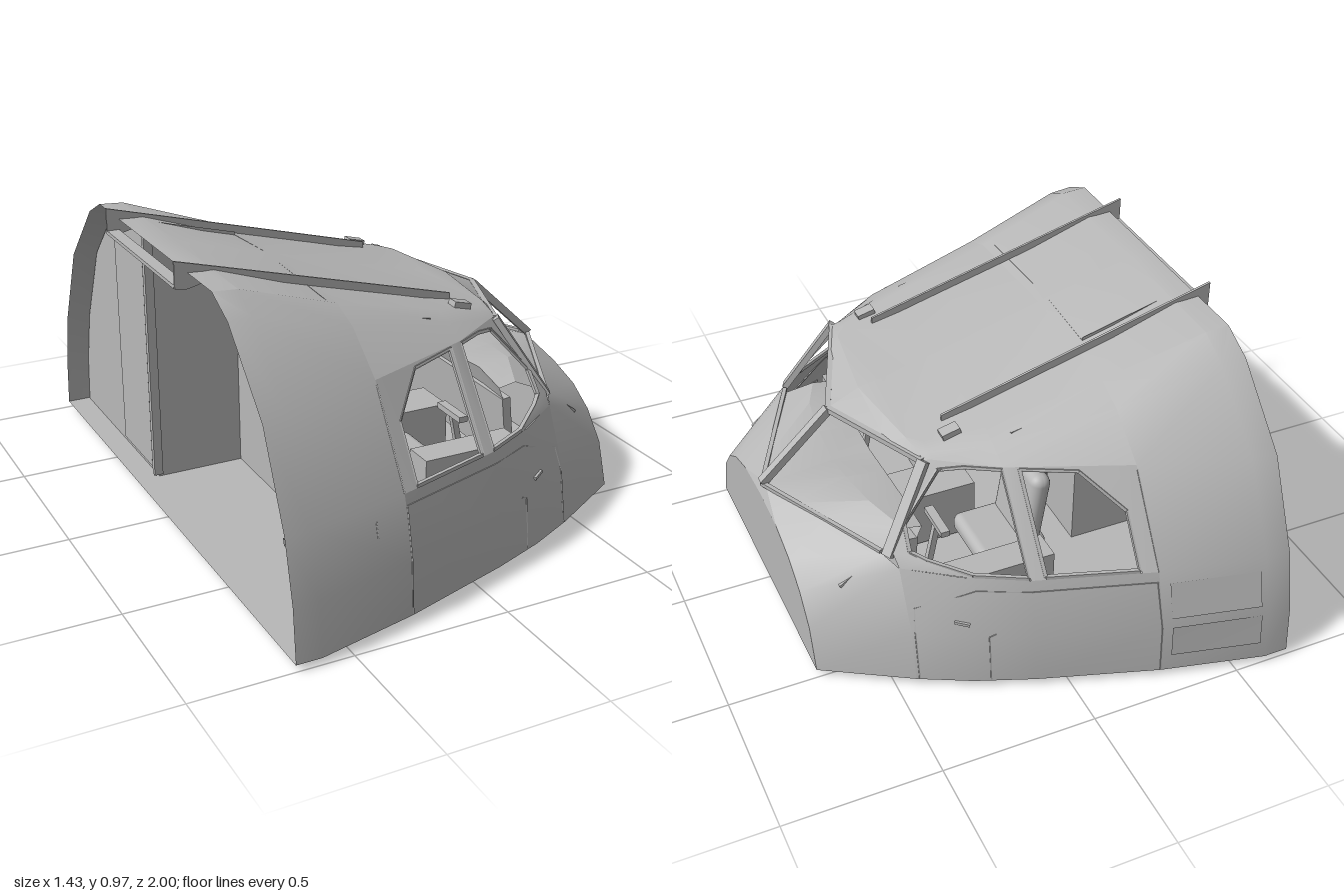
import * as THREE from 'three';
import { toCreasedNormals } from 'three/addons/utils/BufferGeometryUtils.js';
import { RoundedBoxGeometry } from 'three/addons/geometries/RoundedBoxGeometry.js';

const hull = new THREE.MeshStandardMaterial({ color: 0xb8b8b8, side: THREE.DoubleSide });
hull.name = 'light grey';
const V = (x, y, z) => new THREE.Vector3(x, y, z);

// Half cross-sections along the length: [x, [height, half width] from the base to the roof centre]
const SECTIONS = [
  [-0.68, [[.03, 1], [.2, .985], [.39, .94], [.67, .81], [.887, .59], [.94, .48], [.94, 0]]],
  [-0.6, [[.03, 1], [.2, .985], [.39, .935], [.67, .8], [.885, .58], [.935, .48], [.94, 0]]],
  [-0.27, [[.03, .92], [.2, .91], [.39, .86], [.67, .68], [.785, .54], [.825, .44], [.85, 0]]],
  [0.1, [[.03, .8], [.2, .79], [.39, .74], [.67, .53], [.705, .46], [.73, .4], [.75, 0]]],
  [0.28, [[.03, .73], [.2, .71], [.39, .645], [.67, .41], [.685, .39], [.695, .35], [.705, 0]]],
  [0.44, [[.03, .65], [.2, .62], [.39, .53], [.67, .3], [.67, .28], [.67, .26], [.67, 0]]],
];

// Cross-section at any x
function sectionAt(x) {
  let i = 0;
  while (i < SECTIONS.length - 2 && x > SECTIONS[i + 1][0]) i++;
  const [x0, a] = SECTIONS[i], [x1, b] = SECTIONS[i + 1], t = (x - x0) / (x1 - x0);
  return a.map((p, k) => [p[0] + (b[k][0] - p[0]) * t, p[1] + (b[k][1] - p[1]) * t]);
}

// Half width of the side wall at x, y
function sideZ(x, y) {
  const s = sectionAt(x);
  let k = 0;
  while (k < 2 && y > s[k + 1][0]) k++;
  return s[k][1] + (s[k + 1][1] - s[k][1]) * (y - s[k][0]) / (s[k + 1][0] - s[k][0]);
}

// Surface through rows of points
function loft(rows) {
  const n = rows[0].length, index = [];
  for (let i = 0; i < rows.length - 1; i++)
    for (let j = 0; j < n - 1; j++) {
      const a = i * n + j;
      index.push(a, a + n, a + 1, a + 1, a + n, a + n + 1);
    }
  const g = new THREE.BufferGeometry().setFromPoints(rows.flat());
  g.setIndex(index);
  g.computeVertexNormals();
  return toCreasedNormals(g, 0.45);
}

export function createModel() {
  const model = new THREE.Group();
  model.name = 'cockpitSection';

  const add = (name, geometry) => {
    const m = new THREE.Mesh(geometry, hull);
    m.name = name;
    model.add(m);
    return m;
  };
  const box = (name, w, h, d, x, y, z, tilt = 0, round = 0) => {
    const m = add(name, round ? new RoundedBoxGeometry(w, h, d, 3, round) : new THREE.BoxGeometry(w, h, d));
    m.position.set(x, y, z);
    m.rotation.z = tilt;
  };
  const beam = (name, a, b, w, d = w) => {
    const m = add(name, new THREE.BoxGeometry(w, d, a.distanceTo(b)));
    m.position.copy(a).add(b).multiplyScalar(0.5);
    m.lookAt(b);
  };
  const chain = (name, pts, w) => {
    for (let i = 0; i < pts.length - 1; i++) beam(name, pts[i], pts[i + 1], w);
  };

  const rearWindow = [[-.22, .392], [-.22, .55], [-.11, .655], [.055, .662], [.055, .392]];
  const frontWindow = [[.1, .392], [.1, .662], [.2, .658], [.27, .645], [.395, .5], [.4, .43], [.36, .415], [.25, .392]];
  // Window wall strip: inner edge x, y then outer edge x, y
  const wallStrip = [
    [-.27, .39, -.27, .67], [-.22, .39, -.22, .67], [-.22, .55, -.22, .67], [-.11, .655, -.11, .67],
    [.055, .662, .055, .67], [.055, .39, .055, .67], [.1, .39, .1, .67], [.1, .662, .1, .67],
    [.2, .658, .2, .67], [.27, .645, .305, .67], [.395, .5, .41, .49], [.4, .43, .446, .425],
    [.36, .415, .44, .39], [.25, .39, .25, .388],
  ];
  const seams = [
    [[-.27, .035], [-.27, .2], [-.265, .355], [.1, .352], [.25, .348], [.42, .275], [.43, .2], [.43, .035]],
    [[.23, .035], [.23, .2], [.21, .21]],
    [[-.27, .39], [-.27, .66]],
    [[-.38, .3], [-.38, .345]],
  ];

  for (const s of [1, -1]) {
    const at = (x, y, out = 0) => V(x, y, s * (sideZ(x, y) + out));
    const rows = (from, to, p0, p1) =>
      SECTIONS.slice(from, to).map(([x, p]) => p.slice(p0, p1).map(([y, z]) => V(x, y, s * z)));

    // Full rear shell, then the lower side wall and window wall forward of it
    add('rearShell', loft(rows(0, 3, 0, 7)));
    add('lowerSide', loft(rows(2, 6, 0, 3)));
    add('windowWall', loft(wallStrip.map(([x0, y0, x1, y1]) => [at(x0, y0), at(x1, y1)])));
    for (const w of [rearWindow, frontWindow])
      chain('windowFrame', [...w, w[0]].map(([x, y]) => at(x, y, -.008)), .012);

    // Forward roof half with the brow over the windscreen
    const roof = rows(2, 5, 3, 7);
    roof.push([V(.305, .67, s * .4), V(.308, .682, s * .37), V(.32, .69, s * .3), V(.36, .69, 0)]);
    roof.push([V(.305, .668, s * .4), V(.325, .665, s * .36), V(.365, .658, s * .26), V(.465, .64, 0)]);
    add('roof', loft(roof));

    // Nose skin from the side wall and the sill to the front bulkhead
    const sill = [[.44, .03, .65], [.44, .2, .62], [.44, .39, .53], [.47, .41, .47], [.58, .412, .25], [.69, .412, 0]];
    const nose = [[.71, .03, .49], [.71, .17, .445], [.71, .26, .37], [.71, .32, .28], [.71, .36, .16], [.71, .372, 0]];
    add('noseSkin', loft([sill, nose].map(r => r.map(([x, y, z]) => V(x, y, s * z)))));
    add('frontBulkhead', loft([nose.map(([x, y, z]) => V(x, y, s * z)), nose.map(([x, y]) => V(x, y, 0))]));

    // Instrument hood behind the sill
    const hood = [
      [[.47, .405, .45], [.58, .408, .25], [.64, .408, .13], [.69, .408, 0]],
      [[.38, .44, .42], [.44, .465, .28], [.46, .455, .13], [.46, .43, 0]],
      [[.32, .43, .42], [.33, .45, .28], [.33, .44, .13], [.33, .43, 0]],
      [[.34, .38, .42], [.35, .38, .28], [.35, .38, .13], [.35, .38, 0]],
    ];
    add('instrumentHood', loft(hood.map(r => r.map(([x, y, z]) => V(x, y, s * z)))));

    // Windscreen frame
    beam('windscreenPillar', V(.46, .41, s * .485), V(.305, .67, s * .405), .035, .02);
    beam('windscreenSill', V(.47, .411, s * .46), V(.7, .411, 0), .014);
    beam('windscreenHeader', V(.305, .665, s * .4), V(.465, .637, 0), .018);

    // Roof blade and fairings
    const blade = new THREE.Shape([[-.72, .98], [.2, .735], [.2, .7], [-.6, .91], [-.68, .89], [-.72, .895]].map(p => new THREE.Vector2(...p)));
    const fin = add('roofBlade', new THREE.ExtrudeGeometry(blade, { depth: .008, bevelEnabled: false }));
    fin.position.z = s * .295 - .004;
    box('roofFairing', .06, .02, .04, .2, .718, s * .36, -.25);
    box('browFairing', .12, .012, .03, -.02, .735, s * .44, -.2);

    // Panel seams, door handle and probe
    for (const line of seams) {
      const pts = line.slice(0, -1).flatMap(([x, y], i) => [0, .25, .5, .75].map(t =>
        at(x + (line[i + 1][0] - x) * t, y + (line[i + 1][1] - y) * t)));
      chain('panelSeam', [...pts, at(...line[line.length - 1])], .004);
    }
    beam('doorHandle', at(.28, .24, .002), at(.32, .246, .002), .01);
    beam('probe', at(.545, .34, -.04), at(.6, .3, -.03), .016);

    // Pilot seats, columns and side consoles
    const z = s * .3;
    box('seatCushion', .24, .07, .24, 0, .2, z, 0, .03);
    box('seatBase', .12, .14, .14, -.01, .1, z);
    box('seatBack', .07, .29, .24, -.08, .33, z, .15, .033);
    box('headrest', .05, .08, .14, -.115, .44, z, .15, .024);
    box('controlColumn', .02, .2, .02, .24, .22, z, .2);
    box('controlYoke', .03, .02, .14, .22, .32, z);
    box('sideConsole', .34, .16, .1, .12, .25, s * .55);

    // Oblong frames beneath the floor
    for (const dz of [-.035, .035]) box('undersideRail', .24, .02, .01, .48, .018, s * .29 + dz);
    for (const x of [.36, .6]) box('undersideRailEnd', .01, .02, .08, x, .018, s * .29);
  }

  // Windscreen centre post
  beam('centrePost', V(.465, .637, 0), V(.7, .415, 0), .028, .025);

  // Floor
  const base = [...SECTIONS.map(([x, p]) => [x, p[0][1]]), [.71, .49]];
  add('floor', loft([1, -1].map(s => base.map(([x, z]) => V(x, .03, s * z)))));

  // Underside outline
  const under = [[-.04, .06], [.08, .06], [.08, .15], [.3, .15], [.3, .06], [.36, .06]];
  for (const s of [1, -1]) chain('undersideFrame', under.map(([x, z]) => V(x, .02, s * z)), .014);
  for (const x of [-.04, .36]) box('undersideFrameEnd', .014, .014, .13, x, .02, 0);
  box('undersidePanel', .38, .008, .3, -.47, .026, .45);

  // Stepped rear bulkhead, cut to the hull section
  const bulkhead = (x, zMin, zMax) => {
    const half = sectionAt(x).map(([y, z]) => [z - .006, y]);
    const ring = [...half, ...half.slice(0, -1).reverse().map(([z, y]) => [-z, y])];
    const roofY = z => {
      for (let i = 0; i < ring.length - 1; i++) {
        const [a, ya] = ring[i], [b, yb] = ring[i + 1];
        if (z <= a && z >= b && a !== b) return ya + (yb - ya) * (z - a) / (b - a);
      }
      return .03;
    };
    const zs = [zMin, zMax, ...ring.map(p => p[0])].filter(z => z >= zMin && z <= zMax).sort((a, b) => a - b);
    add('rearBulkhead', loft([zs.map(z => V(x, .03, z)), zs.map(z => V(x, roofY(z), z))]));
  };
  bulkhead(-.6, -.994, -.25);
  bulkhead(-.3, -.25, .921);
  add('closetWall', loft([[V(-.6, .03, -.25), V(-.3, .03, -.25)], [V(-.6, .935, -.25), V(-.3, .855, -.25)]]));
  box('closetDoor', .02, .74, .27, -.605, .43, -.41);
  box('doorPost', .03, .86, .02, -.605, .47, -.25);
  box('rearLip', .04, .012, .58, -.7, .9, 0);

  // Shelf and lining panel that follow the left rear wall
  const liner = (y, inset) => [-.66, -.6, -.3].map(x => V(x, y, sideZ(x, y) - inset));
  add('rearShelf', loft([liner(.36, .004), liner(.36, .06), liner(.34, .06), liner(.335, .02), liner(.2, .02), liner(.03, .02)]));

  // Service panels on the right rear flank
  for (const [y0, y1] of [[.09, .2], [.23, .35]]) {
    const edge = y => [-.58, -.3].map(x => V(x, y, -sideZ(x, y) - .004));
    add('servicePanel', loft([edge(y0), edge(y1)]));
  }

  // Instrument panel, centre console, overhead panel and observer seat
  box('instrumentPanel', .03, .24, .84, .36, .27, 0, .1);
  box('centreConsole', .34, .2, .16, .16, .14, 0);
  box('overheadPanel', .22, .03, .5, .17, .655, 0, -.2);
  box('observerSeatBack', .05, .42, .2, -.26, .34, 0, 0, .02);
  return model;
}
